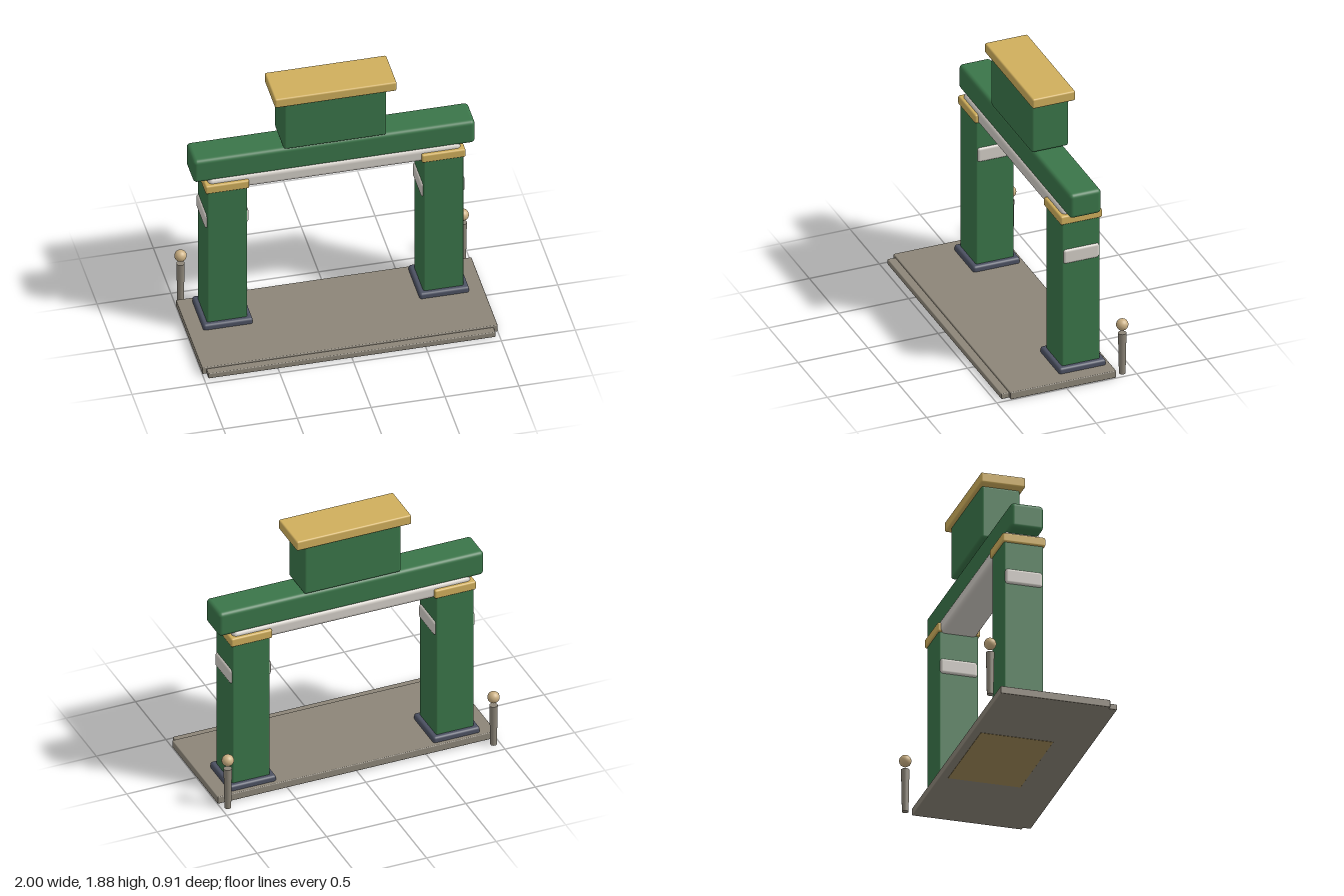
import * as THREE from 'three';
import { RoundedBoxGeometry } from 'three/addons/geometries/RoundedBoxGeometry.js';

const paint = (color) => new THREE.MeshStandardMaterial({ color });

export function createModel() {
  const model = new THREE.Group();
  model.name = 'gateway';

  const green = paint(0x3a7549);
  const gold = paint(0xcfae5c);
  const stone = paint(0x8c8578);
  const slate = paint(0x4c5162);
  const pale = paint(0xd2cdc6);
  const tan = paint(0xcbb083);

  // Rounded box given by its [min, max] extent on each axis
  function block(name, material, [x0, x1], [y0, y1], [z0, z1], radius, parent = model) {
    const geometry = new RoundedBoxGeometry(x1 - x0, y1 - y0, z1 - z0, 3, radius);
    const mesh = new THREE.Mesh(geometry, material);
    mesh.name = name;
    mesh.position.set((x0 + x1) / 2, (y0 + y1) / 2, (z0 + z1) / 2);
    parent.add(mesh);
    return mesh;
  }

  // Paved floor with a lower front step and an inlay flush with the underside
  block('floorSlab', stone, [-1, 1], [0.005, 0.058], [-0.355, 0.4], 0.006);
  block('frontStep', stone, [-0.972, 0.972], [0.005, 0.045], [0.3, 0.455], 0.006);
  block('floorInlay', paint(0xa08a58), [-0.37, 0.37], [0.003, 0.02], [-0.3, 0.2], 0.002);

  for (const side of [-1, 1]) {
    const prefix = side > 0 ? 'left' : 'right';

    // Pillar with plinth, side bands and capital
    const pillar = new THREE.Group();
    pillar.name = prefix + 'Pillar';
    pillar.position.x = side * 0.732;
    model.add(pillar);
    block('plinth', slate, [-0.168, 0.168], [0.045, 0.098], [-0.325, 0.01], 0.018, pillar);
    block('shaft', green, [-0.136, 0.136], [0.02, 1.18], [-0.293, -0.021], 0.012, pillar);
    block('band', pale, [-0.149, 0.149], [0.87, 0.977], [-0.285, -0.03], 0.018, pillar);
    block('capital', gold, [-0.148, 0.148], [1.17, 1.235], [-0.305, -0.009], 0.012, pillar);

    // Free-standing lamp post behind the floor
    const lamp = new THREE.Group();
    lamp.name = prefix + 'LampPost';
    lamp.position.set(side * 0.955, 0, -0.415);
    model.add(lamp);
    const post = new THREE.Mesh(new THREE.CylinderGeometry(0.028, 0.022, 0.305, 16), stone);
    post.name = 'post';
    post.position.y = 0.1575;
    const globe = new THREE.Mesh(new THREE.SphereGeometry(0.041, 20, 14), tan);
    globe.name = 'globe';
    globe.position.y = 0.373;
    lamp.add(post, globe);
  }

  // Beams across the pillars
  block('paleBeam', pale, [-0.855, 0.855], [1.163, 1.265], [-0.282, -0.032], 0.03);
  block('lintel', green, [-0.953, 0.953], [1.247, 1.428], [-0.27, -0.044], 0.028);

  // Raised centre block and its cap
  block('centreBlock', green, [-0.348, 0.348], [1.437, 1.815], [-0.288, -0.023], 0.018);
  block('centreCap', gold, [-0.412, 0.412], [1.808, 1.88], [-0.31, -0.004], 0.012);

  return model;
}
